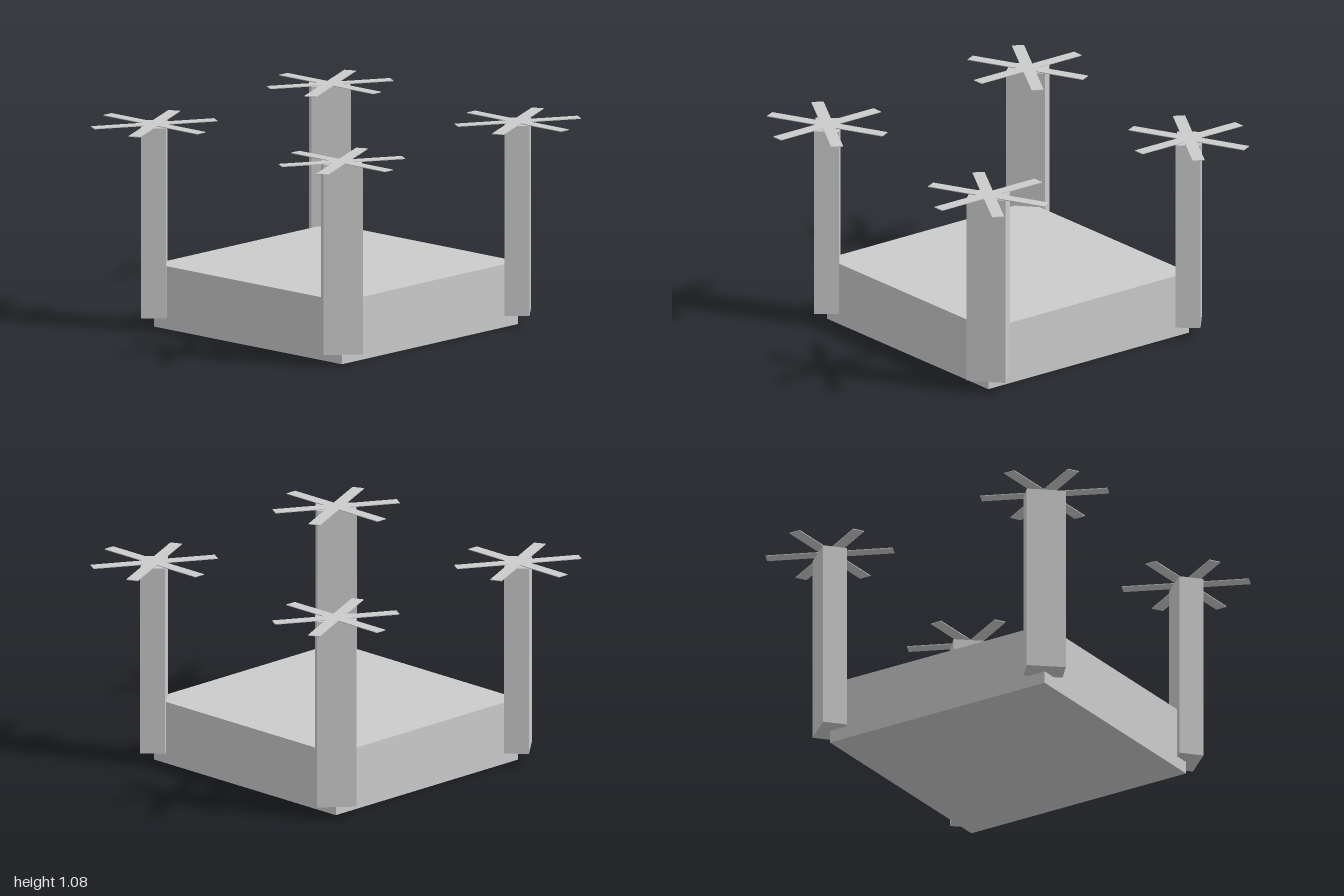
import * as THREE from 'three';

export function createModel() {
  const model = new THREE.Group();
  const material = new THREE.MeshStandardMaterial({ color: 0xcccccc, flatShading: true });
  const rad = THREE.MathUtils.degToRad;

  function addBox(parent, name, [w, h, d], [x, y, z], turn = 0) {
    const mesh = new THREE.Mesh(new THREE.BoxGeometry(w, h, d), material);
    mesh.name = name;
    mesh.position.set(x, y, z);
    mesh.rotation.y = rad(turn);
    parent.add(mesh);
  }

  // Square slab base
  const half = 0.667;
  addBox(model, 'base', [2 * half, 0.334, 2 * half], [0, 0.167, 0]);

  // Corner posts turned diagonally, mirrored across both axes
  const postBottom = 0.065, postTop = 1.075, leafThickness = 0.004;
  for (const sx of [-1, 1]) {
    for (const sz of [-1, 1]) {
      const corner = new THREE.Group();
      corner.name = (sz > 0 ? 'front' : 'back') + (sx > 0 ? 'Left' : 'Right') + 'Corner';
      corner.position.set(sx * half, 0, sz * half);
      addBox(corner, 'post', [0.205, postTop - postBottom, 0.13],
        [0, (postTop + postBottom) / 2, 0], 49 * sx * sz);

      // Three crossed thin strips form the six-armed crown, same way round on every post
      for (const turn of [0, 60, -65]) {
        addBox(corner, 'crownStrip', [0.667, leafThickness, 0.064],
          [0, postTop + leafThickness / 2, 0], turn);
      }
      model.add(corner);
    }
  }
  return model;
}
